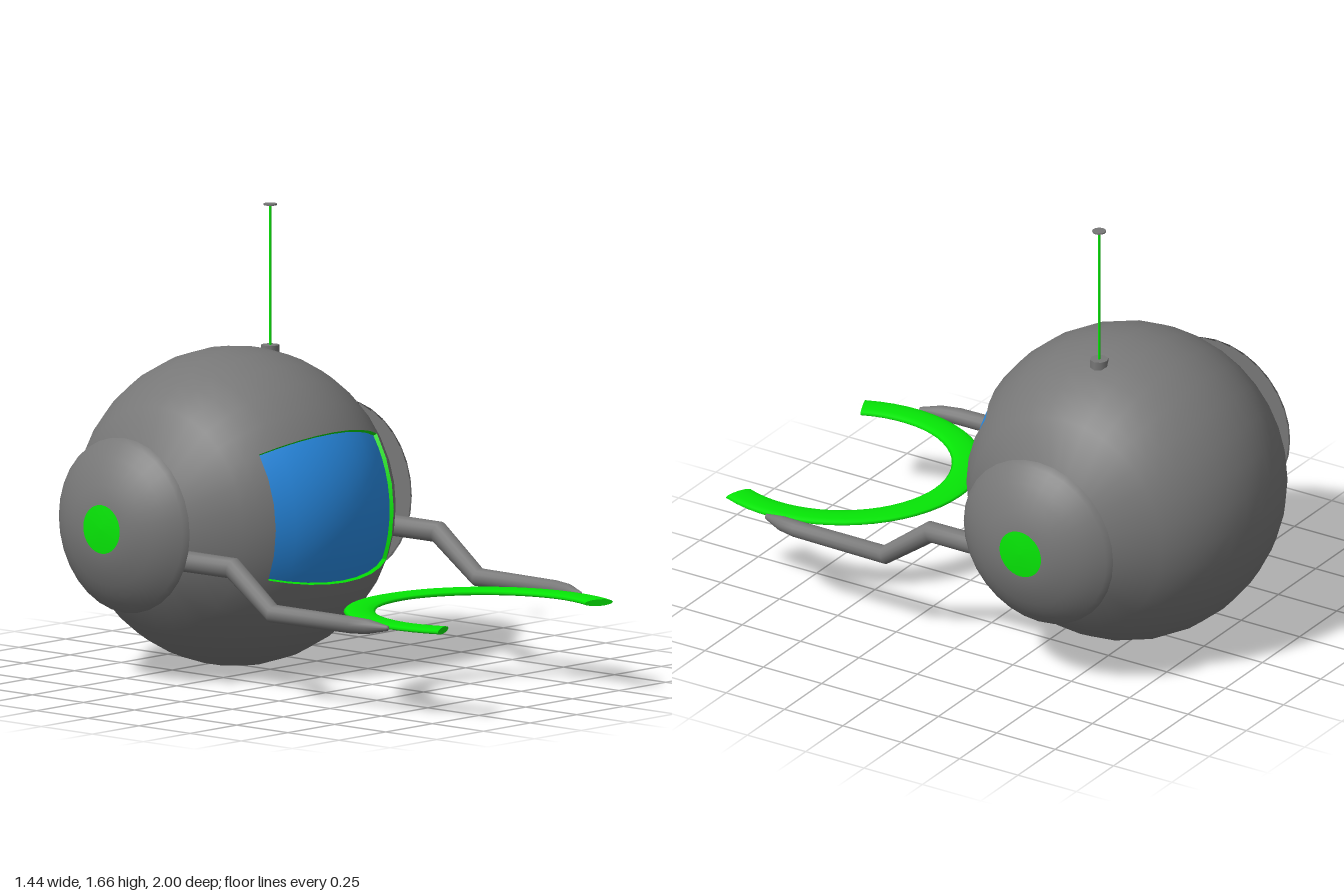
import * as THREE from 'three';
import { mergeGeometries } from 'three/addons/utils/BufferGeometryUtils.js';
import { ParametricGeometry } from 'three/addons/geometries/ParametricGeometry.js';

const D = Math.PI / 180;
const R = 0.58; // body radius
const material = (color) => new THREE.MeshStandardMaterial({ color, side: THREE.DoubleSide });

// Surface of revolution around the x axis; profile is a list of [x, radius].
function spin(profile, segments = 32, start = 0, length = 360) {
  const points = profile.map(([x, r]) => new THREE.Vector2(r, x));
  return new THREE.LatheGeometry(points, segments, start * D, length * D).rotateZ(-Math.PI / 2);
}

// Profile points along a sphere between two latitudes.
function arc(from, to, n, radius = R) {
  return Array.from({ length: n + 1 }, (_, i) => {
    const a = (from + ((to - from) * i) / n) * D;
    return [radius * Math.sin(a), radius * Math.cos(a)];
  });
}

// Give the vertices on the body sphere radial normals, so its pieces meet without a seam.
function smoothBody(geometry) {
  const { position, normal } = geometry.attributes;
  const v = new THREE.Vector3();
  for (let i = 0; i < position.count; i++) {
    v.fromBufferAttribute(position, i);
    if (v.length() < R - 0.001) continue;
    v.normalize();
    normal.setXYZ(i, v.x, v.y, v.z);
  }
  return geometry;
}

// Round limb through rings [x, y, z, radius, lean], lean shearing the ring along z.
function limb(rings, sides = 14) {
  const pos = [], index = [];
  rings.forEach(([x, y, z, r, lean = 0], k) => {
    for (let i = 0; i < sides; i++) {
      const a = (i / sides) * 2 * Math.PI;
      const dy = r * Math.sin(a);
      pos.push(x + r * Math.cos(a), y + dy, z + dy * lean);
      if (k === 0) continue;
      const j = (i + 1) % sides, p = (k - 1) * sides, q = k * sides;
      index.push(p + i, p + j, q + i, p + j, q + j, q + i);
    }
  });
  const g = new THREE.BufferGeometry();
  g.setAttribute('position', new THREE.Float32BufferAttribute(pos, 3));
  g.setIndex(index);
  g.computeVertexNormals();
  return g;
}

export function createModel() {
  const model = new THREE.Group();
  const grey = material(0x777777), green = material(0x06e606), blue = material(0x288ae2);
  const add = (parent, name, geometry, mat, x = 0, y = 0, z = 0) => {
    const mesh = new THREE.Mesh(geometry, mat);
    mesh.name = name;
    mesh.position.set(x, y, z);
    parent.add(mesh);
  };

  const pod = new THREE.Group();
  pod.name = 'pod';
  pod.position.set(0, 0.58, -0.42);
  model.add(pod);

  // Body: middle band left open at the visor, visor window set slightly deeper
  const lat = 33, top = 33.75, low = -22.5;
  add(pod, 'bodyBand', smoothBody(spin(arc(-lat, lat, 8), 27, -low, 360 - top + low)), grey);
  add(pod, 'visor', spin(arc(-lat, lat, 8, 0.565), 10, -top, top - low), blue);

  // Visor frame: narrow walls from the body edge down to the window
  const wall = (point, n) => new ParametricGeometry((u, v, t) => {
    const [la, el] = point(u);
    const r = R - 0.02 * v, c = r * Math.cos(la * D);
    t.set(r * Math.sin(la * D), c * Math.sin(el * D), c * Math.cos(el * D));
  }, n, 1);
  const frame = mergeGeometries([
    wall((u) => [lat * (2 * u - 1), top], 8),
    wall((u) => [lat * (1 - 2 * u), low], 8),
    wall((u) => [lat, low + (top - low) * u], 5),
    wall((u) => [-lat, top - (top - low) * u], 5),
  ]);
  add(pod, 'visorFrame', frame, green);

  // Sides: body shoulder, neck, dish and its cap
  for (const [side, turn] of [['left', 0], ['right', Math.PI]]) {
    const g = new THREE.Group();
    g.name = side + 'Side';
    g.rotation.y = turn;
    pod.add(g);
    add(g, 'shoulder', smoothBody(spin([...arc(lat, 45, 2), [0.5, 0.167]])), grey);
    add(g, 'neck', spin([[0.495, 0.17], [0.53, 0.176], [0.565, 0.185], [0.6, 0.195]]), green);
    add(g, 'dish', spin([[0.595, 0], [0.595, 0.312], [0.595, 0.32], [0.612, 0.302], [0.63, 0.282],
      [0.653, 0.252], [0.677, 0.212], [0.7, 0.16], [0.713, 0.115], [0.717, 0.088]]), grey);
    add(g, 'dishCap', spin([[0.717, 0.089], [0.721, 0.045], [0.722, 0]]), green);
  }

  // Antenna
  const antenna = new THREE.Group();
  antenna.name = 'antenna';
  antenna.position.set(0.187, 0, -0.42);
  model.add(antenna);
  add(antenna, 'antennaBase', new THREE.CylinderGeometry(0.034, 0.034, 0.034, 8), grey, 0, 1.13);
  add(antenna, 'antennaRod', new THREE.CylinderGeometry(0.005, 0.005, 0.52, 8), green, 0, 1.4);
  add(antenna, 'antennaTip', new THREE.CylinderGeometry(0.025, 0.025, 0.005, 12), grey, 0, 1.661);

  // Arms: bent down in front of the body, tapering into the ring
  for (const [name, s] of [['leftArm', 1], ['rightArm', -1]]) {
    add(model, name, limb([
      [s * 0.55, 0.472, -0.3, 0.039],
      [s * 0.55, 0.472, 0.07, 0.038, 0.32],
      [s * 0.55, 0.328, 0.265, 0.033, 0.32],
      [s * 0.545, 0.328, 0.65, 0.031],
      [s * 0.535, 0.328, 0.72, 0.027],
      [s * 0.517, 0.328, 0.795, 0.01],
      [s * 0.517, 0.328, 0.8, 0.001],
    ]), grey);
  }

  // Gripper: flattened open ring with closed ends
  const major = 0.453, tube = 0.057, over = 23 * D, sweep = Math.PI + 2 * over;
  const cap = (tilt, turn) =>
    new THREE.CircleGeometry(tube, 12).rotateX(tilt).translate(major, 0, 0).rotateZ(turn);
  const ring = mergeGeometries([
    new THREE.TorusGeometry(major, tube, 12, 36, sweep),
    cap(Math.PI / 2, 0),
    cap(-Math.PI / 2, sweep),
  ]).rotateZ(-over).rotateX(-Math.PI / 2).scale(1, 0.22, 1);
  add(model, 'gripperRing', ring, green, 0, 0.329, 0.8);

  return model;
}
